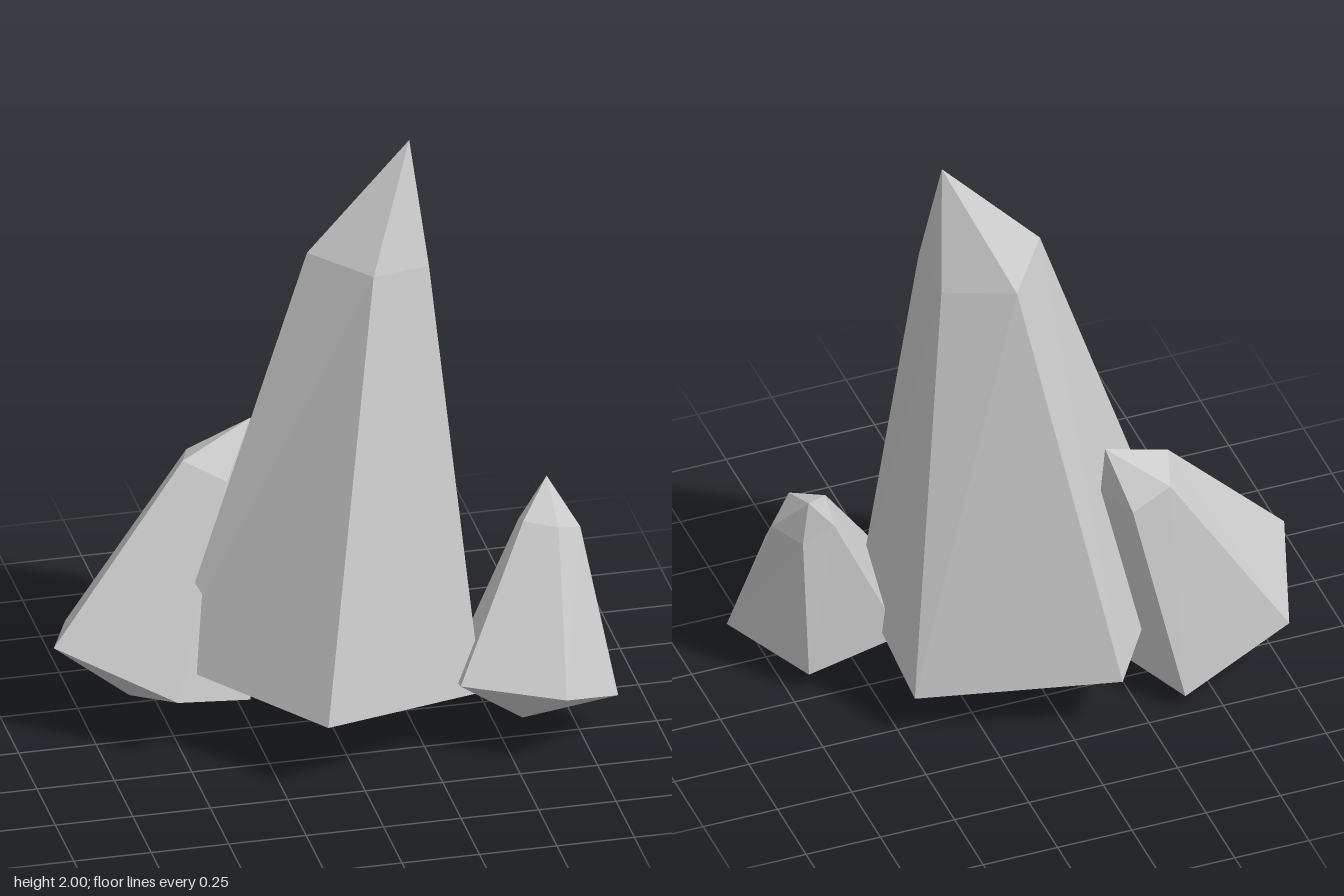
import * as THREE from 'three';

const material = new THREE.MeshStandardMaterial({ color: 0xcccccc, flatShading: true });

// Faceted crystal: foot point, wide lower ring, narrow shoulder ring, tip.
// Rings run counter-clockwise seen from above.
function crystal(name, { foot, base, shoulder, tip }) {
  const positions = [];
  const triangle = (a, b, c) => positions.push(...a, ...b, ...c);
  const n = base.length;
  for (let i = 0; i < n; i++) {
    const j = (i + 1) % n;
    triangle(foot, base[j], base[i]);
    triangle(base[i], base[j], shoulder[j]);
    triangle(base[i], shoulder[j], shoulder[i]);
    triangle(shoulder[i], shoulder[j], tip);
  }
  const geometry = new THREE.BufferGeometry();
  geometry.setAttribute('position', new THREE.Float32BufferAttribute(positions, 3));
  geometry.computeVertexNormals();
  const mesh = new THREE.Mesh(geometry, material);
  mesh.name = name;
  return mesh;
}

export function createModel() {
  const group = new THREE.Group();
  group.name = 'crystalCluster';

  // Tall central crystal, leaning slightly to +x
  group.add(crystal('mainCrystal', {
    foot: [0.01, 0, 0.02],
    base: [[-0.52, 0.265, 0.005], [-0.12, 0.24, 0.505], [0.43, 0.18, 0.27], [0.465, 0.155, -0.31], [-0.15, 0.21, -0.53]],
    shoulder: [[-0.06, 1.64, -0.04], [0.11, 1.63, 0.15], [0.31, 1.6, 0.06], [0.31, 1.595, -0.14], [0.1, 1.615, -0.255]],
    tip: [0.27, 2, -0.04],
  }));

  // Small crystal on the +x side
  group.add(crystal('leftCrystal', {
    foot: [0.56, 0.08, 0.28],
    base: [[0.34, 0.26, 0.365], [0.645, 0.255, 0.525], [0.865, 0.13, 0.295], [0.69, 0.07, 0.03], [0.38, 0.14, 0.03]],
    shoulder: [[0.6, 0.69, 0.12], [0.7, 0.685, 0.18], [0.79, 0.635, 0.095], [0.72, 0.61, 0.005], [0.61, 0.645, 0.015]],
    tip: [0.705, 0.775, -0.005],
  }));

  // Medium crystal on the -x side
  group.add(crystal('rightCrystal', {
    foot: [-0.6, 0.065, -0.18],
    base: [[-0.87, 0.32, -0.07], [-0.53, 0.215, 0.185], [-0.23, 0.05, -0.09], [-0.38, 0.055, -0.48], [-0.745, 0.215, -0.44]],
    shoulder: [[-0.415, 0.845, -0.235], [-0.295, 0.805, -0.14], [-0.185, 0.75, -0.245], [-0.24, 0.75, -0.385], [-0.37, 0.81, -0.375]],
    tip: [-0.185, 0.945, -0.285],
  }));

  return group;
}
